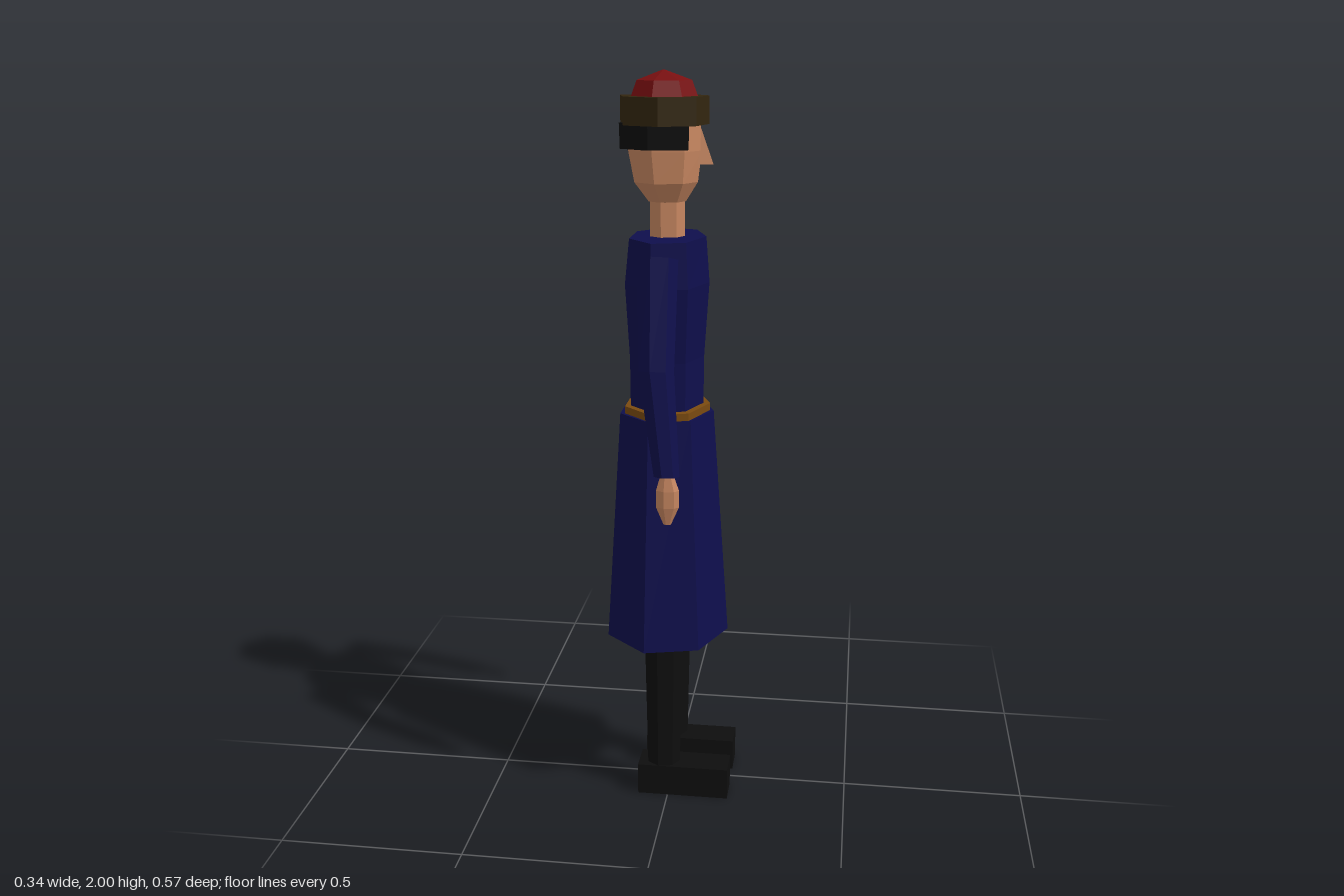
import * as THREE from 'three';

const mat = (name, color) => Object.assign(new THREE.MeshStandardMaterial({ color }), { name });

// Closed faceted solid through elliptical rings, listed bottom to top:
// [y, centreX, centreZ, radiusX, radiusZ, tilt], where tilt is rise in y per unit z.
// Corners from..to of the n-sided ring are used; phase turns the ring.
function loft(rings, { n = 7, phase = 0, from = 0, to = n - 1 } = {}) {
  const pts = rings.map(([y, cx, cz, rx, rz, tilt = 0]) => {
    const ring = [];
    for (let k = from; k <= to; k++) {
      const a = phase + (k / n) * Math.PI * 2;
      const dz = Math.sin(a) * rz;
      ring.push([cx + Math.cos(a) * rx, y + dz * tilt, cz + dz]);
    }
    return ring;
  });
  const count = to - from + 1, out = [];
  const tri = (a, b, c) => out.push(...a, ...b, ...c);
  for (let r = 0; r < pts.length - 1; r++) {
    const lo = pts[r], up = pts[r + 1];
    for (let i = 0; i < count; i++) {
      const j = (i + 1) % count;
      tri(lo[i], up[i], lo[j]);
      tri(lo[j], up[i], up[j]);
    }
  }
  const bottom = pts[0], top = pts[pts.length - 1];
  for (let i = 1; i < count - 1; i++) {
    tri(bottom[0], bottom[i], bottom[i + 1]);
    tri(top[0], top[i + 1], top[i]);
  }
  const geo = new THREE.BufferGeometry();
  geo.setAttribute('position', new THREE.Float32BufferAttribute(out, 3));
  geo.computeVertexNormals();
  return geo;
}

export function createModel() {
  const model = new THREE.Group();
  model.name = 'standingFigure';
  const blue = mat('coatBlue', 0x0f0f4c);
  const skin = mat('skin', 0xc68660);
  const black = mat('bootBlack', 0x0e0e0e);
  const brown = mat('hatBrown', 0x33260f);
  const red = mat('capRed', 0x780f10);
  const leather = mat('beltLeather', 0x7a4a10);

  const add = (name, geo, material, parent = model) => {
    const mesh = new THREE.Mesh(geo, material);
    mesh.name = name;
    parent.add(mesh);
    return mesh;
  };

  // Coat and belt
  add('coatSkirt', loft([
    [0.47, -0.017, 0, 0.172, 0.2],
    [1.11, -0.019, 0, 0.129, 0.149],
  ]), blue);
  add('belt', loft([
    [1.1, -0.017, 0, 0.117, 0.147],
    [1.13, -0.017, 0, 0.117, 0.147],
  ]), leather);
  add('coatBody', loft([
    [1.12, -0.018, 0, 0.1, 0.123],
    [1.26, -0.018, 0, 0.101, 0.126],
    [1.46, -0.017, 0, 0.113, 0.153],
    [1.58, -0.015, 0, 0.102, 0.152],
  ]), blue);

  // Neck and head
  add('neck', loft([
    [1.56, -0.017, 0, 0.047, 0.043],
    [1.7, -0.017, 0, 0.047, 0.043],
  ]), skin);
  add('head', loft([
    [1.67, -0.017, 0, 0.05, 0.043],
    [1.72, -0.021, 0, 0.085, 0.073],
    [1.8, -0.024, 0, 0.098, 0.08],
    [1.88, -0.026, 0, 0.096, 0.08],
  ]), skin);
  add('nose', loft([
    [1.765, 0.078, 0, 0.026, 0.013],
    [1.785, 0.075, 0, 0.022, 0.011],
    [1.86, 0.066, 0, 0.004, 0.003],
  ], { n: 3 }), skin);
  // Hair wraps the sides and back, leaving the face open
  add('hair', loft([
    [1.805, -0.028, 0, 0.117, 0.088],
    [1.87, -0.028, 0, 0.119, 0.09],
  ], { from: 1, to: 6 }), black);

  // Hat
  add('hatBand', loft([
    [1.865, -0.026, 0, 0.119, 0.105],
    [1.936, -0.026, 0, 0.119, 0.105],
  ], { phase: Math.PI / 2 }), brown);
  add('hatCrown', loft([
    [1.93, -0.025, 0, 0.09, 0.078],
    [1.975, -0.025, 0, 0.073, 0.063],
    [2.0, -0.025, 0, 0.003, 0.003],
  ]), red);

  // Arms and legs, mirrored across the body
  for (const s of [1, -1]) {
    const side = s > 0 ? 'right' : 'left';
    const arm = new THREE.Group();
    arm.name = side + 'Arm';
    model.add(arm);
    add('sleeve', loft([
      [1.0, 0.016, s * 0.255, 0.034, 0.031, s * 0.12],
      [1.27, -0.014, s * 0.232, 0.047, 0.035, s * 0.2],
      [1.547, -0.016, s * 0.182, 0.053, 0.041, s * 0.32],
    ]), blue, arm);
    add('hand', loft([
      [0.872, 0.019, s * 0.262, 0.01, 0.006],
      [0.92, 0.019, s * 0.262, 0.031, 0.017],
      [0.965, 0.019, s * 0.262, 0.031, 0.017],
      [1.01, 0.018, s * 0.26, 0.016, 0.012],
    ]), skin, arm);

    const leg = new THREE.Group();
    leg.name = side + 'Leg';
    model.add(leg);
    add('trouserLeg', loft([
      [0.05, -0.016, s * 0.088, 0.046, 0.04],
      [0.5, -0.016, s * 0.088, 0.055, 0.046],
    ]), black, leg);
    add('boot', new THREE.BoxGeometry(0.255, 0.09, 0.088), black, leg)
      .position.set(0.043, 0.045, s * 0.084);
  }
  return model;
}
